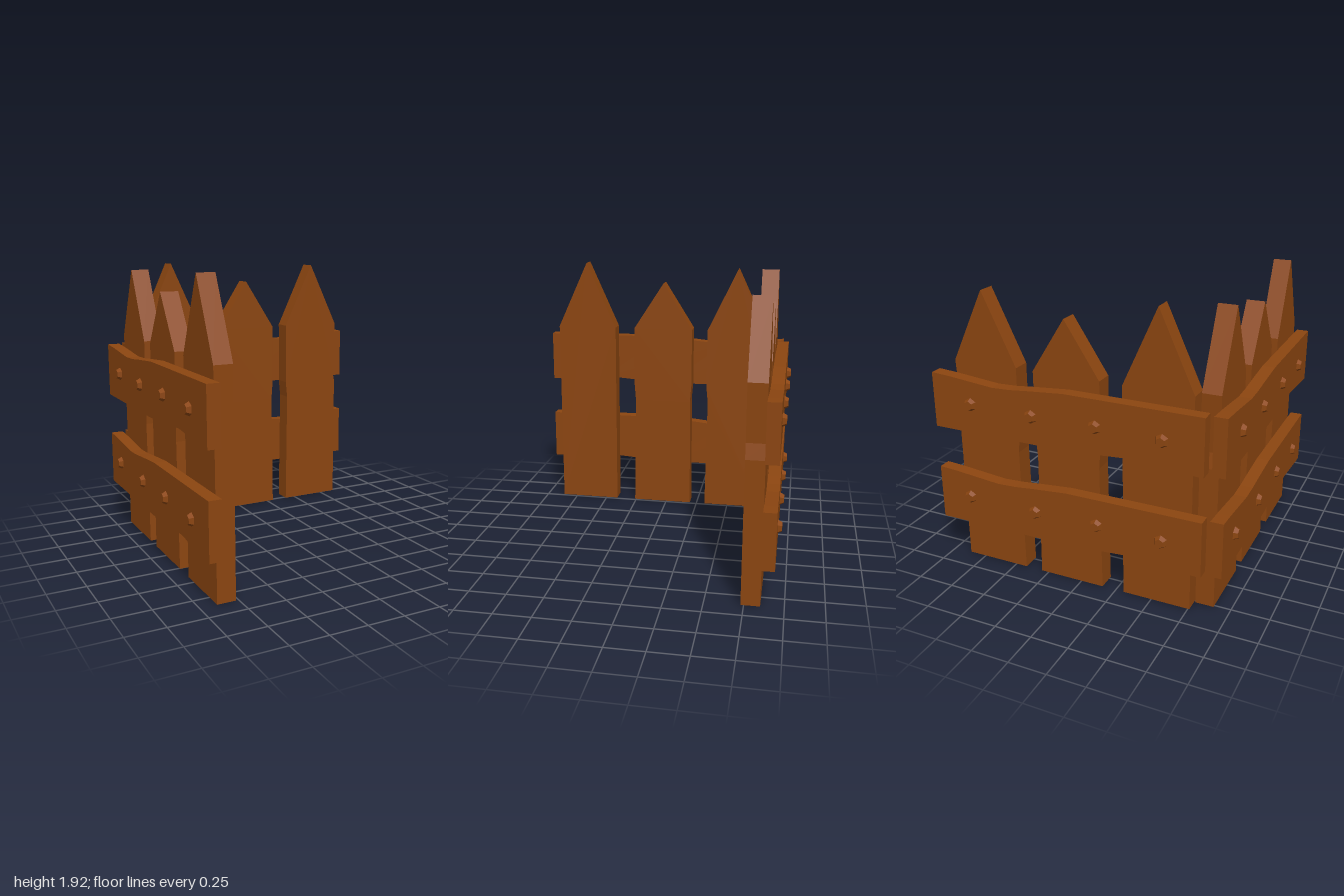
import * as THREE from 'three';

const wood = new THREE.MeshStandardMaterial({ color: 0x8b4510, flatShading: true });
wood.name = 'brownWood';

// Flat board cut from an outline in x and y, from z0 to z1
function board(name, points, z0, z1) {
  const shape = new THREE.Shape(points.map(([x, y]) => new THREE.Vector2(x, y)));
  const geometry = new THREE.ExtrudeGeometry(shape, { depth: z1 - z0, bevelEnabled: false });
  geometry.translate(0, 0, z0);
  const mesh = new THREE.Mesh(geometry, wood);
  mesh.name = name;
  return mesh;
}

// Picket outlines: counter-clockwise from the lower left, with worn edges
const pickets = [
  [[-0.76, 0], [-0.305, 0], [-0.305, 1.425], [-0.53, 1.925], [-0.76, 1.425]],
  [[-0.155, 0], [0.3, 0], [0.29, 0.85], [0.3, 0.98], [0.3, 1.425], [0.075, 1.78],
    [-0.155, 1.425], [-0.155, 0.98], [-0.145, 0.85]],
  [[0.42, 0], [0.872, 0], [0.872, 0.95], [0.853, 1.05], [0.872, 1.42], [0.645, 1.895],
    [0.42, 1.425], [0.42, 0.97], [0.432, 0.85]],
];

// Uneven rail outline, measured from the rail's base line
const rail = [
  [-0.855, 0], [-0.76, 0.005], [-0.42, 0.034], [-0.305, 0.026], [-0.155, 0.015], [0.1, 0], [1, 0],
  [1, 0.373], [0.87, 0.365], [0.55, 0.335], [0.42, 0.34], [0.3, 0.352], [0.05, 0.373], [-0.855, 0.373],
];

// One straight run of fence, with its pickets in front and bolts behind
function fencePanel(name) {
  const panel = new THREE.Group();
  panel.name = name;
  pickets.forEach((outline, i) => panel.add(board('picket' + (i + 1), outline, -0.852, -0.73)));

  [
    { label: 'lower', y: 0.304, bolts: [-0.595, -0.16, 0.28, 0.77] },
    { label: 'upper', y: 0.97, bolts: [-0.595, -0.16, 0.28, 0.72] },
  ].forEach(({ label, y, bolts }) => {
    panel.add(board(label + 'Rail', rail.map(([px, py]) => [px, py + y]), -0.936, -0.852));
    // Tapered six-sided bolt heads
    bolts.forEach((x, i) => {
      const geometry = new THREE.CylinderGeometry(0.03, 0.046, 0.03, 6);
      geometry.rotateX(-Math.PI / 2);
      const bolt = new THREE.Mesh(geometry, wood);
      bolt.name = label + 'Bolt' + (i + 1);
      bolt.position.set(x, y + 0.19 + (i % 2 ? 0.005 : -0.003), -0.949);
      panel.add(bolt);
    });
  });
  return panel;
}

export function createModel() {
  const group = new THREE.Group();
  group.name = 'cornerFence';
  group.add(fencePanel('backFence'));

  // Same panel turned to run along the side
  const side = fencePanel('sideFence');
  side.rotation.y = Math.PI / 2;
  side.position.set(-0.038, 0, 0.105);
  group.add(side);
  return group;
}
